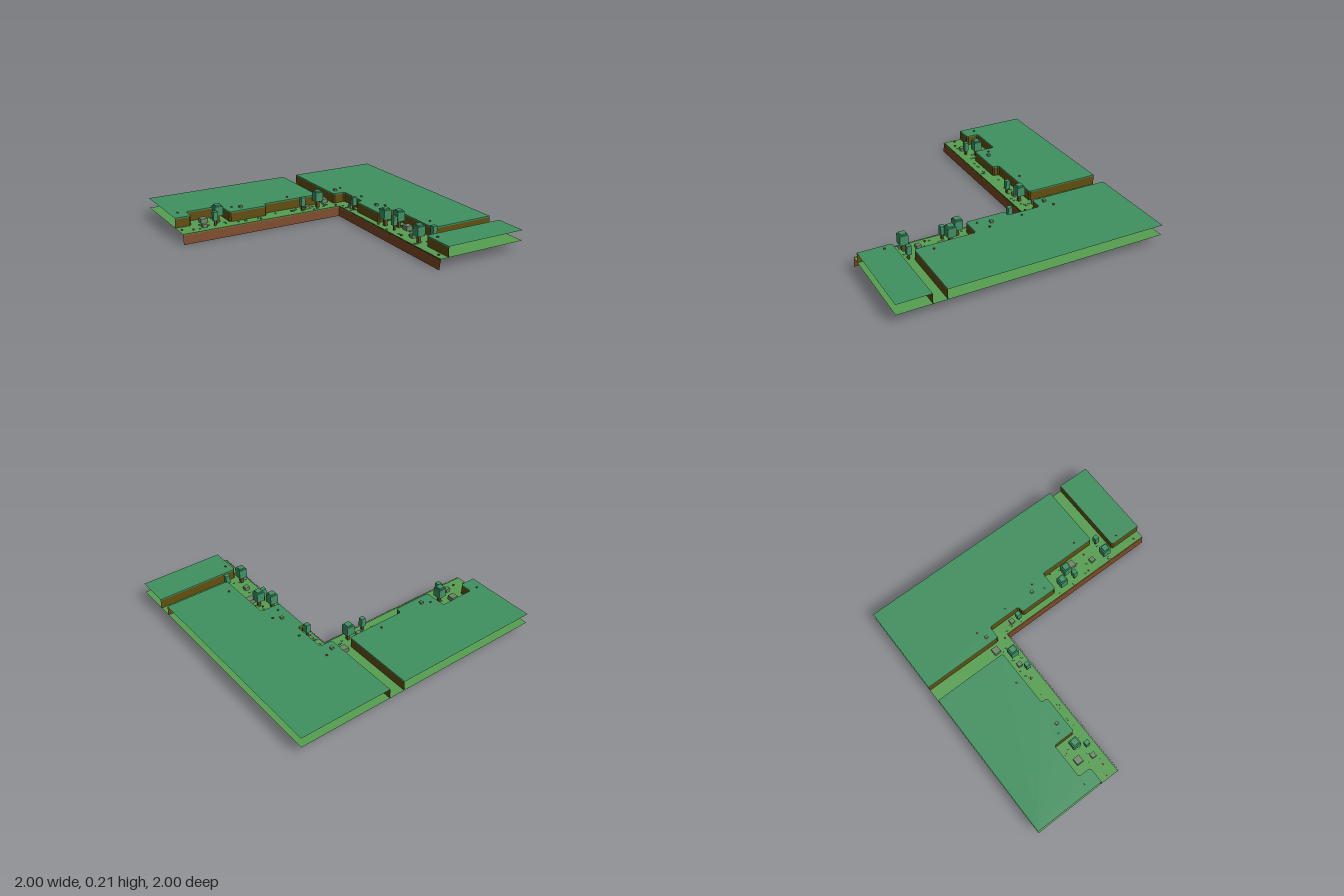
import * as THREE from 'three';

const mat = (name, color, side = THREE.FrontSide) => {
  const m = new THREE.MeshStandardMaterial({ color, side });
  m.name = name;
  return m;
};

// Cuts each inner corner of an open [x, z] path
function chamfer(path, r) {
  const out = [path[0]];
  for (let i = 1; i < path.length - 1; i++) {
    const [x, z] = path[i];
    for (const [px, pz] of [path[i - 1], path[i + 1]]) {
      const d = Math.hypot(px - x, pz - z);
      out.push([x + (px - x) / d * r, z + (pz - z) / d * r]);
    }
  }
  out.push(path[path.length - 1]);
  return out;
}

// Flat sheet bounded by [x, z] points
function sheet(points, y) {
  const shape = new THREE.Shape(points.map(([x, z]) => new THREE.Vector2(x, -z)));
  return new THREE.ShapeGeometry(shape).rotateX(-Math.PI / 2).translate(0, y, 0);
}

// Upright strip between a bottom path and a top path
function wall(bottom, y0, top, y1) {
  const pos = [];
  for (let i = 0; i < bottom.length - 1; i++) {
    const [a, b, c, d] = [[bottom[i], y0], [bottom[i + 1], y0], [top[i + 1], y1], [top[i], y1]]
      .map(([p, y]) => [p[0], y, p[1]]);
    pos.push(...a, ...b, ...c, ...a, ...c, ...d);
  }
  const g = new THREE.BufferGeometry();
  g.setAttribute('position', new THREE.Float32BufferAttribute(pos, 3));
  g.computeVertexNormals();
  return g;
}

export function createModel() {
  const D = THREE.DoubleSide;
  const upperGrass = mat('upper grass', 0x40915f, D);
  const lowerGrass = mat('lower grass', 0x569f50, D);
  const upperEarth = mat('upper earth', 0x634f0e, D);
  const lowerEarth = mat('lower earth', 0x784623, D);
  const leaf = mat('leaves', 0x3f9265);
  const bark = mat('bark', 0x6b4a22);
  const stone = mat('stone', 0x6f8668);
  const red = mat('red petals', 0xa8402c);
  const tuftMat = mat('grass tufts', 0x5b9e6c);

  const model = new THREE.Group();
  const add = (name, geo, material, parent = model) => {
    const m = new THREE.Mesh(geo, material);
    m.name = name;
    parent.add(m);
    return m;
  };
  const box = (name, material, w, h, x, y, z, parent) =>
    add(name, new THREE.BoxGeometry(w, h, w).translate(x, y + h / 2, z), material, parent);
  const LOW = 0.077, HIGH = 0.154;

  // Lower L-shaped ground and its slightly sloping bank
  const rim = [[-1, -0.3], [0.295, -0.3], [0.295, 1]];
  const foot = [[-1, -0.29], [0.285, -0.29], [0.285, 1]];
  add('lowerGround', sheet([...rim, [1, 1], [1, -1], [-1, -1]], LOW), lowerGrass);
  add('lowerBank', wall(foot, 0, rim, LOW), lowerEarth);

  // Toothed grass fringe hanging over the bank
  const teeth = [];
  for (let i = 0; i < 86; i++) {
    const s = -1 + i * 0.015;
    teeth.push([s, -0.293, s + 0.015, -0.293]);
    teeth.push([0.288, -s, 0.288, -s - 0.015]);
  }
  const fringe = [];
  for (const [x0, z0, x1, z1] of teeth) {
    fringe.push(x0, LOW + 0.002, z0, (x0 + x1) / 2, LOW - 0.01, (z0 + z1) / 2, x1, LOW + 0.002, z1);
  }
  const fringeGeo = new THREE.BufferGeometry();
  fringeGeo.setAttribute('position', new THREE.Float32BufferAttribute(fringe, 3));
  fringeGeo.computeVertexNormals();
  add('bankFringe', fringeGeo, lowerGrass);

  // Raised plateaus: inner edge path plus the open outer corners
  const plateaus = [
    ['backLeft',
      [[-1, -0.45], [-0.875, -0.45], [-0.875, -0.55], [-0.6, -0.55], [-0.6, -0.38],
        [-0.295, -0.38], [-0.295, -0.43], [0.168, -0.43], [0.168, -1]],
      [[-1, -1]]],
    ['right',
      [[0.29, -1], [0.29, -0.38], [0.39, -0.38], [0.39, -0.12], [0.34, -0.12],
        [0.34, 0.187], [0.492, 0.187], [0.492, 0.648], [1, 0.648]],
      [[1, -1]]],
    ['frontRight', [[0.36, 1], [0.36, 0.75], [1, 0.75]], [[1, 1]]],
  ];
  for (const [name, path, outer] of plateaus) {
    const edge = chamfer(path, 0.012);
    const group = new THREE.Group();
    group.name = name + 'Plateau';
    model.add(group);
    add('plateauTop', sheet([...edge, ...outer], HIGH), upperGrass, group);
    add('plateauLip', wall(edge, HIGH - 0.01, edge, HIGH), upperGrass, group);
    add('plateauWall', wall(edge, LOW, edge, HIGH - 0.01), upperEarth, group);
  }

  // Block trees: [x, z, large]
  const trees = [
    [-0.675, -0.43, 1], [0.133, -0.362, 1], [0.35, 0.26, 1], [0.412, 0.342, 1], [0.353, 0.67, 1],
    [-0.725, -0.362, 0], [-0.01, -0.342, 0], [0.34, -0.16, 0], [0.35, 0.375, 0], [0.473, 0.68, 0],
  ];
  for (const [x, z, large] of trees) {
    const g = new THREE.Group();
    g.name = large ? 'largeTree' : 'smallTree';
    model.add(g);
    if (large) {
      box('trunk', bark, 0.022, 0.058, x, LOW, z, g);
      box('crown', leaf, 0.062, 0.072, x, 0.13, z, g);
      box('crownTop', leaf, 0.045, 0.011, x, 0.202, z, g);
    } else {
      box('trunk', bark, 0.014, 0.042, x, LOW, z, g);
      box('crown', leaf, 0.034, 0.068, x, 0.116, z, g);
    }
  }

  // Stones: [x, z, width, height, ground]
  const stones = [
    [-0.773, -0.475, 0.052, 0.034, LOW], [-0.808, -0.37, 0.036, 0.026, LOW],
    [0.047, -0.372, 0.034, 0.026, LOW], [0.235, -0.445, 0.05, 0.032, LOW],
    [0.35, -0.215, 0.034, 0.026, LOW], [0.44, 0.415, 0.052, 0.034, LOW],
    [0.377, 0.568, 0.036, 0.026, LOW], [-0.483, -0.44, 0.022, 0.016, HIGH],
    [0.343, -0.448, 0.022, 0.016, HIGH], [0.422, 0.03, 0.022, 0.016, HIGH],
  ];
  for (const [x, z, w, h, y] of stones) box('stone', stone, w, h, x, y, z);

  // Little flowers on both levels: [x, z, ground]
  const flowers = [
    [-0.975, -0.383, LOW], [-0.9, -0.35, LOW], [-0.68, -0.51, LOW], [-0.09, -0.37, LOW],
    [0.28, -0.33, LOW], [0.327, 0.497, LOW], [0.455, 0.55, LOW], [0.325, 0.935, LOW],
    [0.55, 0.53, HIGH], [0.4, 0.82, HIGH], [0.413, -0.483, HIGH], [-0.07, -0.483, HIGH],
    [0.473, 0.07, HIGH], [0.455, 0.223, HIGH],
  ];
  for (const [x, z, y] of flowers) box('flower', red, 0.011, 0.009, x, y, z);
  const shoots = [[-0.94, -0.55], [-0.543, -0.473], [0.44, -0.205], [0.39, 0.125]];
  for (const [x, z] of shoots) box('shoot', leaf, 0.011, 0.009, x, HIGH, z);

  // Scattered grass tufts along the lower path
  let seed = 7;
  const rand = () => (seed = (seed * 16807) % 2147483647) / 2147483647;
  const patches = [[-0.85, -0.62, -0.53, -0.33, 14], [-0.58, -0.35, -0.36, -0.32, 6],
    [-0.25, 0.25, -0.41, -0.32, 18], [0.31, 0.37, -0.3, -0.13, 6], [0.31, 0.47, 0.21, 0.73, 18]];
  for (const [x0, x1, z0, z1, n] of patches) {
    for (let i = 0; i < n; i++) {
      box('tuft', tuftMat, 0.012, 0.005, x0 + (x1 - x0) * rand(), LOW, z0 + (z1 - z0) * rand());
    }
  }
  return model;
}
